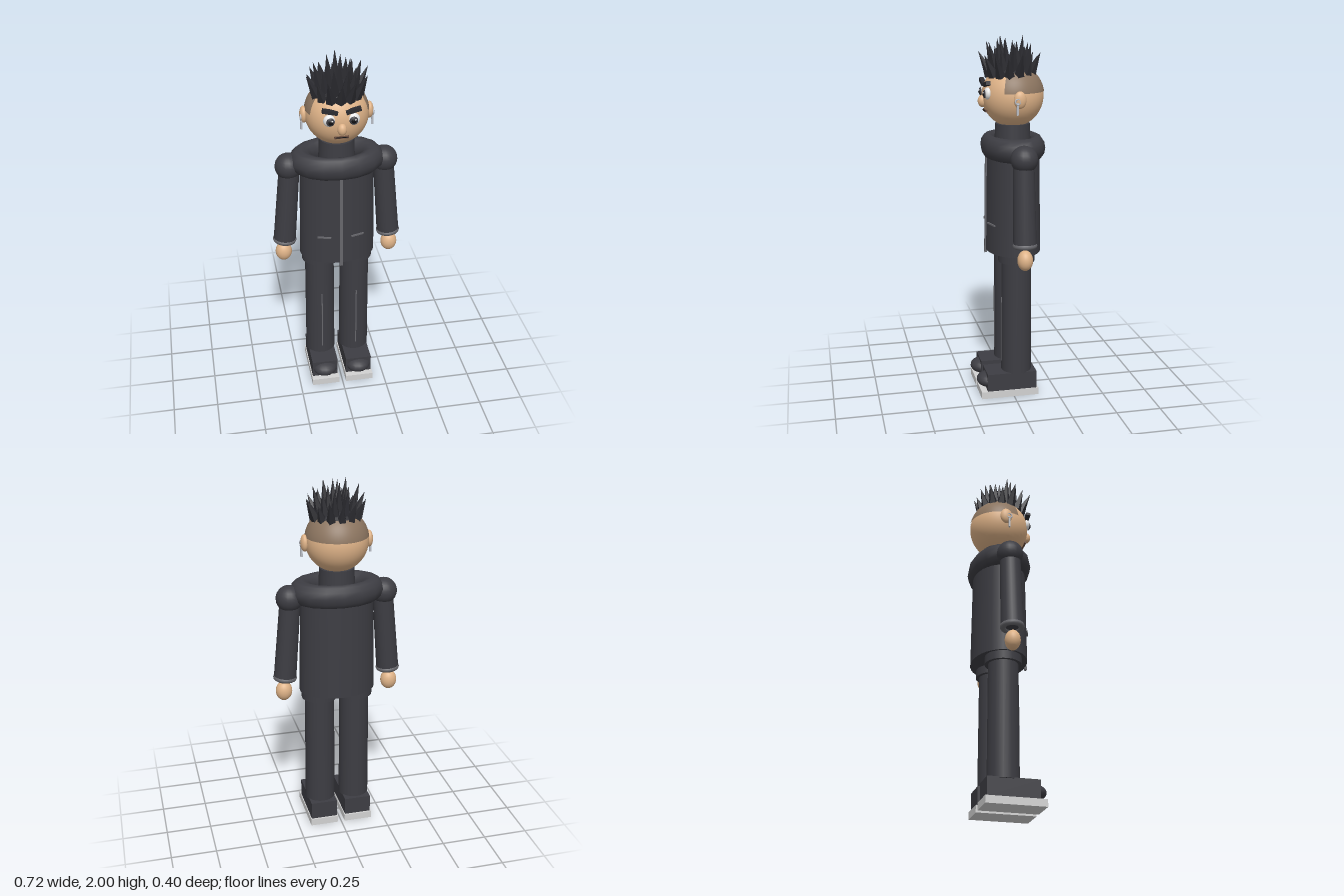
import * as THREE from 'three';

const mat = (name, color, extra = {}) => {
  const m = new THREE.MeshStandardMaterial({ color, ...extra });
  m.name = name;
  return m;
};

export function createModel() {
  const root = new THREE.Group();
  root.name = 'standingFigure';
  const cloth = mat('charcoal cloth', 0x3d3d43);
  const trim = mat('grey trim', 0x66666b);
  const hair = mat('black hair', 0x2b2b30, { flatShading: true });
  const skin = mat('skin', 0xdfb388);
  const fade = mat('shaved hair', 0x8c7560);
  const sole = mat('pale sole', 0xd2d2d2);
  const white = mat('eye white', 0xf2f2f2);
  const black = mat('pupil black', 0x111114);
  const silver = mat('silver', 0xb8bcc4);
  const lip = mat('lip brown', 0x6e5142);
  const Z = -0.027; // body axis

  const add = (name, geo, material, x, y, z, parent = root) => {
    const m = new THREE.Mesh(geo, material);
    m.name = name;
    m.position.set(x, y, z);
    parent.add(m);
    return m;
  };
  const ball = (rx, ry, rz, w = 24, h = 16) => new THREE.SphereGeometry(1, w, h).scale(rx, ry, rz);
  const box = (w, h, d) => new THREE.BoxGeometry(w, h, d);
  const tube = (top, bottom, h, seg = 24) => new THREE.CylinderGeometry(top, bottom, h, seg);
  const ring = (R, r, radial = 10, seg = 24) => new THREE.TorusGeometry(R, r, radial, seg).rotateX(Math.PI / 2);

  // Jacket body, padded yoke, collar and front zip
  add('jacketBody', tube(0.2, 0.211, 0.56, 32).scale(1, 1, 0.72), cloth, 0, 1.105, Z);
  add('shoulderYoke', ring(0.195, 0.065, 12, 16).scale(1, 1, 0.665), cloth, 0, 1.405, Z);
  add('collar', tube(0.094, 0.1, 0.14), cloth, 0, 1.46, Z);
  add('zip', box(0.016, 0.55, 0.012), trim, 0, 1.083, 0.123).rotation.x = -0.013;

  for (const s of [1, -1]) {
    const side = s > 0 ? 'left' : 'right';

    // Shoes
    add(side + 'Sole', box(0.16, 0.04, 0.325), sole, s * 0.1, 0.02, 0.0225);
    add(side + 'Shoe', box(0.15, 0.1, 0.28), cloth, s * 0.1, 0.09, 0.01);
    add(side + 'ToeCap', ball(0.072, 0.043, 0.07, 16, 12), cloth, s * 0.1, 0.088, 0.13);

    // Trousers with a pressed crease
    add(side + 'TrouserLeg', tube(0.082, 0.085, 0.68), cloth, s * 0.1, 0.475, Z);
    add(side + 'Hip', tube(0.1, 0.1, 0.07), cloth, s * 0.1, 0.815, Z);
    add(side + 'Crease', box(0.006, 0.38, 0.006), trim, s * 0.1, 0.38, 0.057);

    // Pocket slit
    const pocket = add(side + 'Pocket', box(0.075, 0.008, 0.008), trim, s * 0.092, 0.99, 0.111);
    pocket.rotation.set(0, s * 0.33, s * -0.03);

    // Sleeve, cuff and hand
    add(side + 'Shoulder', ball(0.073, 0.073, 0.073, 20, 14), cloth, s * 0.262, 1.376, -0.032);
    const arm = new THREE.Group();
    arm.name = side + 'Arm';
    arm.position.set(s * 0.257, 1.37, -0.03);
    arm.rotation.z = s * 0.082;
    root.add(arm);
    add(side + 'Sleeve', tube(0.056, 0.062, 0.46), cloth, 0, -0.225, 0, arm);
    add(side + 'Cuff', ring(0.05, 0.016), trim, 0, -0.453, 0, arm);
    add(side + 'Hand', ball(0.046, 0.056, 0.042), skin, s * 0.302, 0.838, -0.03);

    // Ear with hanging earring
    add(side + 'Ear', ball(0.021, 0.046, 0.034), skin, s * 0.175, 1.675, -0.029);
    add(side + 'EarringHoop', new THREE.TorusGeometry(0.014, 0.004, 8, 16).rotateY(Math.PI / 2), silver, s * 0.192, 1.668, -0.014);
    add(side + 'EarringBar', box(0.012, 0.066, 0.01), silver, s * 0.188, 1.63, -0.014);

    // Eye and angry brow
    add(side + 'Eye', ball(0.033, 0.033, 0.02), white, s * 0.062, 1.7, 0.121);
    add(side + 'Iris', ball(0.022, 0.022, 0.009), cloth, s * 0.06, 1.698, 0.137);
    add(side + 'Pupil', ball(0.013, 0.013, 0.006), black, s * 0.06, 1.698, 0.143);
    add(side + 'EyeGlint', ball(0.005, 0.005, 0.003, 8, 6), white, s * 0.06 + 0.008, 1.706, 0.147);
    const brow = add(side + 'Brow', box(0.08, 0.02, 0.025), hair, s * 0.061, 1.75, 0.125);
    brow.rotation.z = s * 0.24;
  }

  // Head, nose and mouth
  add('head', ball(0.17, 0.17, 0.167, 40, 28), skin, 0, 1.68, Z);
  add('nose', ball(0.025, 0.033, 0.026), skin, 0, 1.654, 0.138);
  add('mouth', box(0.075, 0.013, 0.012), lip, 0, 1.603, 0.123);
  add('mouthLine', box(0.066, 0.004, 0.003), black, 0, 1.603, 0.129);

  // Shaved sides and back
  const deg = Math.PI / 180;
  add('shavedHair', new THREE.SphereGeometry(0.1715, 40, 16, 153 * deg, 234 * deg, 0, 81.5 * deg), fade, 0, 1.68, Z);

  // Hair cap and rings of spikes
  add('hairCap', new THREE.SphereGeometry(0.18, 16, 6, 0, Math.PI * 2, 0, 43 * deg), hair, 0, 1.68, Z + 0.005);
  const spikes = new THREE.Group();
  spikes.name = 'hairSpikes';
  root.add(spikes);
  const up = new THREE.Vector3(0, 1, 0);
  const rings = [
    { n: 6, base: 0.055, tip: 0.065, y: 1.985 },
    { n: 10, base: 0.085, tip: 0.115, y: 1.955 },
    { n: 14, base: 0.11, tip: 0.162, y: 1.9 },
  ];
  rings.forEach(({ n, base, tip, y }, k) => {
    for (let i = 0; i < n; i++) {
      const a = (i + 0.5 * (k % 2)) / n * Math.PI * 2;
      const wobble = Math.sin(i * 2.7 + k * 1.9);
      const from = new THREE.Vector3(Math.sin(a) * base, 1.66 + Math.sqrt(0.0289 - base * base), Math.cos(a) * base - 0.014);
      const r = tip + wobble * 0.01;
      const to = new THREE.Vector3(Math.sin(a) * r, y + wobble * 0.015, Math.cos(a) * r - 0.008);
      const dir = to.clone().sub(from);
      const spike = add('spike', new THREE.ConeGeometry(0.031, dir.length(), 5), hair, 0, 0, 0, spikes);
      spike.position.copy(from).addScaledVector(dir, 0.5);
      spike.quaternion.setFromUnitVectors(up, dir.normalize());
    }
  });

  return root;
}
